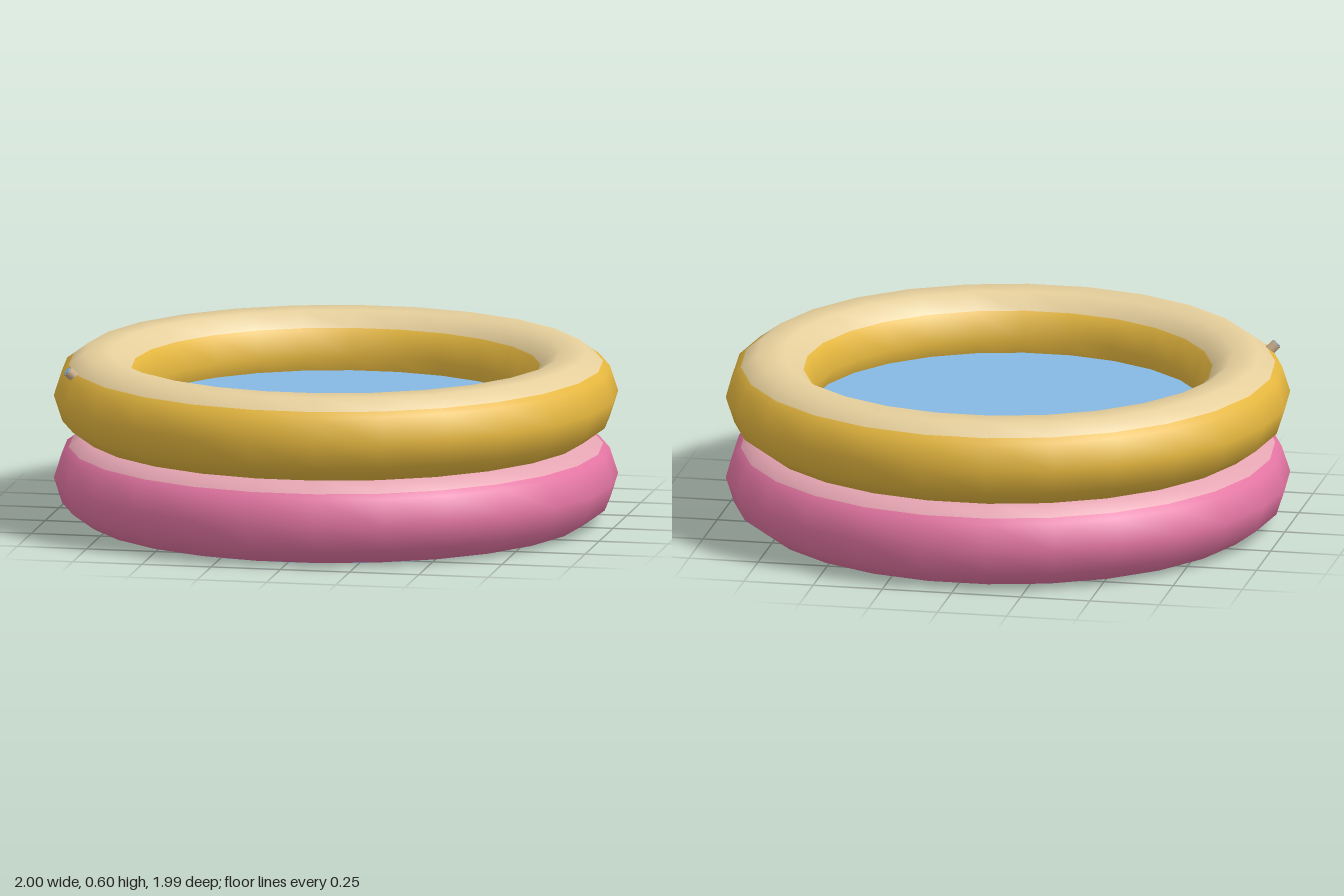
import * as THREE from 'three';

const RING = 0.8435, TUBE = 0.1565, SIDES = 10, SEGMENTS = 26;

const flat = (name, color) => {
  const m = new THREE.MeshStandardMaterial({ color });
  m.name = name;
  return m;
};

// Point on the ten-sided tube section; k may fall between two corners.
function sectionPoint(k) {
  const corner = (i) => {
    const a = (i / SIDES) * Math.PI * 2;
    return new THREE.Vector2(RING + TUBE * Math.cos(a), TUBE * Math.sin(a));
  };
  const i = Math.floor(k);
  return corner(i).lerp(corner(i + 1), k - i);
}

// Band of an inflated ring between two positions on the tube section.
function ringBand(from, to) {
  const points = [sectionPoint(from)];
  for (let i = Math.floor(from) + 1; i < to; i++) points.push(sectionPoint(i));
  points.push(sectionPoint(to));
  const geo = new THREE.LatheGeometry(points, SEGMENTS, Math.PI / 2);
  // Smooth normals point away from the tube's centre line
  const pos = geo.attributes.position, n = new THREE.Vector3();
  for (let i = 0; i < pos.count; i++) {
    const x = pos.getX(i), z = pos.getZ(i), r = Math.hypot(x, z);
    n.set((x / r) * (r - RING), pos.getY(i), (z / r) * (r - RING)).normalize();
    geo.attributes.normal.setXYZ(i, n.x, n.y, n.z);
  }
  return geo;
}

export function createModel() {
  const model = new THREE.Group();
  model.name = 'paddlingPool';

  const gold = flat('gold', 0xe5b73f);
  const sand = flat('sand', 0xe6cf9c);
  const pink = flat('pink', 0xe375a2);
  const palePink = flat('pale pink', 0xe5a5b2);
  const blue = flat('blue', 0x86b8e2);
  const valveTan = flat('valve tan', 0xc6aa88);

  const add = (parent, name, geo, mat) => {
    const mesh = new THREE.Mesh(geo, mat);
    mesh.name = name;
    parent.add(mesh);
    return mesh;
  };

  // Two stacked inflated rings, each with a paler top band
  const top = ringBand(1.3, 3.9), body = ringBand(3.9, 11.3);
  for (const [name, y, main, pale] of [
    ['lowerRing', 0.155, pink, palePink],
    ['upperRing', 0.451, gold, sand],
  ]) {
    const ring = new THREE.Group();
    ring.name = name;
    ring.position.y = y;
    add(ring, name + 'Body', body, main);
    add(ring, name + 'TopBand', top, pale);
    model.add(ring);
  }

  // Water filling the pool to just below the middle of the upper ring, down to the floor
  const water = add(model, 'waterAndFloor', new THREE.CylinderGeometry(0.86, 0.86, 0.4, 48), blue);
  water.position.y = 0.2;

  // Air valve, standing out from the upper ring
  const valve = new THREE.Group();
  valve.name = 'airValve';
  add(valve, 'valveStem', new THREE.CylinderGeometry(0.019, 0.019, 0.036, 10), valveTan);
  add(valve, 'valveCap', new THREE.CylinderGeometry(0.014, 0.014, 0.004, 10), blue).position.y = 0.019;
  valve.position.set(-0.875, 0.56, 0.403);
  const out = new THREE.Vector3(-0.875, 0.85, 0.403).normalize();
  valve.quaternion.setFromUnitVectors(new THREE.Vector3(0, 1, 0), out);
  model.add(valve);

  return model;
}
